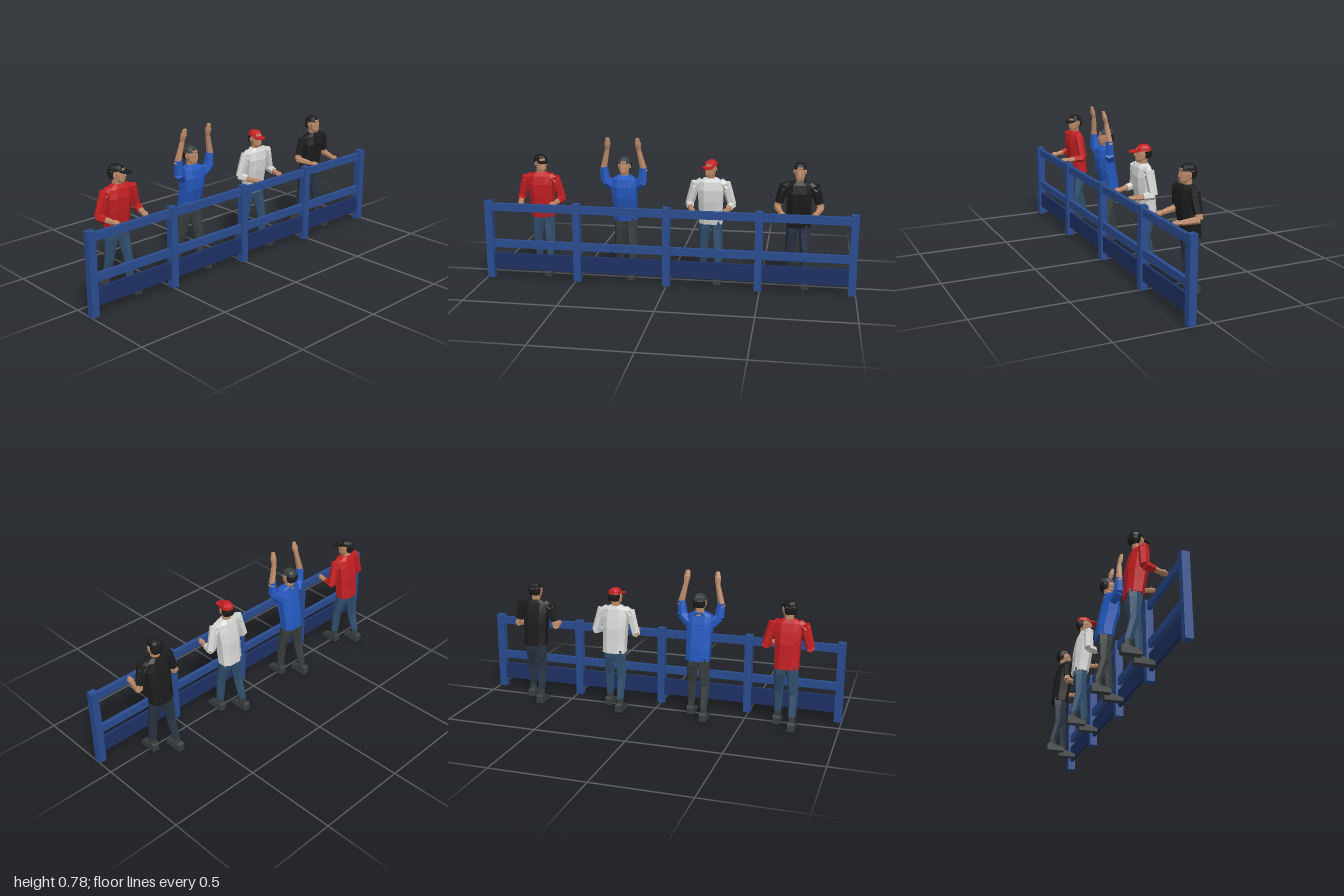
import * as THREE from 'three';

const mat = (name, color) => Object.assign(new THREE.MeshStandardMaterial({ color }), { name });

// Faceted normals baked into the geometry
function facet(geo) {
  const g = geo.index ? geo.toNonIndexed() : geo;
  g.computeVertexNormals();
  return g;
}

// Closed body lofted through horizontal rings [x, y, z, halfWidth, halfDepth], bottom to top
function loft(rings, sides = 8, power = 0.75) {
  const pos = [], idx = [];
  const bend = v => Math.sign(v) * Math.pow(Math.abs(v), power);
  for (const [x, y, z, rx, rz] of rings) {
    for (let i = 0; i < sides; i++) {
      const a = ((i + 0.5) / sides) * Math.PI * 2;
      pos.push(x + rx * bend(Math.sin(a)), y, z + rz * bend(Math.cos(a)));
    }
  }
  const last = (rings.length - 1) * sides;
  for (let r = 0; r < last; r += sides) {
    for (let i = 0; i < sides; i++) {
      const j = (i + 1) % sides;
      idx.push(r + i, r + j, r + sides + j, r + i, r + sides + j, r + sides + i);
    }
  }
  for (let i = 1; i < sides - 1; i++) {
    idx.push(0, i + 1, i, last, last + i, last + i + 1);
  }
  const g = new THREE.BufferGeometry();
  g.setAttribute('position', new THREE.Float32BufferAttribute(pos, 3));
  g.setIndex(idx);
  return facet(g);
}

// Tapered six-sided segment between two points
function segment(a, b, ra, rb) {
  const p = new THREE.Vector3(...a), q = new THREE.Vector3(...b);
  const d = q.clone().sub(p);
  const g = new THREE.CylinderGeometry(rb, ra, d.length(), 6);
  g.applyQuaternion(new THREE.Quaternion().setFromUnitVectors(new THREE.Vector3(0, 1, 0), d.normalize()));
  const c = p.add(q).multiplyScalar(0.5);
  g.translate(c.x, c.y, c.z);
  return facet(g);
}

const box = (w, h, d, x, y, z) => new THREE.BoxGeometry(w, h, d).translate(x, y, z);
const mix = (a, b, t) => a.map((v, i) => v + (b[i] - v) * t);

// Side profile of a shoe, extruded across its width
function shoeGeometry(x, heel) {
  const s = new THREE.Shape([[0, 0], [0.1, 0], [0.1, 0.019], [0.085, 0.024], [0.045, 0.036], [0.012, 0.046], [0, 0.036]]
    .map(p => new THREE.Vector2(...p)));
  const w = 0.037;
  return facet(new THREE.ExtrudeGeometry(s, { depth: w, bevelEnabled: false })
    .rotateY(-Math.PI / 2).translate(x + w / 2, 0, heel));
}

export function createModel() {
  const M = {
    fence: mat('fence blue', 0x2a4c90),
    board: mat('dark blue', 0x1d3164),
    red: mat('red', 0xc21f22),
    blue: mat('shirt blue', 0x2458bd),
    white: mat('off white', 0xd6d6d4),
    black: mat('black', 0x1c1c1d),
    skin: mat('skin', 0xbb8a68),
    jeans: mat('jeans blue', 0x31506f),
    navy: mat('dark navy', 0x2b3444),
    grey: mat('dark grey', 0x393e3e),
  };
  const model = new THREE.Group();
  model.name = 'fenceWithSpectators';

  const add = (parent, name, geo, material) => {
    const m = new THREE.Mesh(geo, material);
    m.name = name;
    parent.add(m);
    return m;
  };

  // Fence
  const fence = new THREE.Group();
  fence.name = 'fence';
  model.add(fence);
  for (let i = -2; i <= 2; i++) add(fence, 'post', box(0.04, 0.433, 0.04, i * 0.49, 0.2165, 0.108), M.fence);
  add(fence, 'topRail', box(1.96, 0.042, 0.022, 0, 0.4, 0.108), M.fence);
  add(fence, 'middleRail', box(1.96, 0.042, 0.022, 0, 0.194, 0.108), M.fence);
  add(fence, 'kickBoard', box(1.96, 0.09, 0.018, 0, 0.095, 0.108), M.board);

  function addLegs(p, trousers) {
    // Left leg steps forward, right leg trails
    const legs = [
      { s: 1, hip: -0.04, knee: -0.016, ankle: -0.01, heel: -0.036 },
      { s: -1, hip: -0.05, knee: -0.058, ankle: -0.09, heel: -0.127 },
    ];
    for (const { s, hip, knee, ankle, heel } of legs) {
      add(p, 'trouserLeg', loft([
        [s * 0.044, 0.07, ankle, 0.02, 0.02],
        [s * 0.042, 0.18, knee, 0.025, 0.025],
        [s * 0.033, 0.29, hip, 0.031, 0.037],
        [s * 0.029, 0.335, hip, 0.03, 0.038],
      ], 6, 0.85), trousers);
      add(p, 'ankle', loft([
        [s * 0.045, 0.025, ankle - 0.003, 0.018, 0.019],
        [s * 0.044, 0.076, ankle, 0.019, 0.019],
      ], 6, 0.85), M.grey);
      add(p, 'shoe', shoeGeometry(s * 0.046, heel), M.grey);
    }
  }

  function addArms(p, shirt, raised, sleeve) {
    for (const s of [-1, 1]) {
      const shoulder = [s * 0.073, 0.545, -0.018];
      const elbow = raised ? [s * 0.112, 0.6, 0.002] : [s * 0.115, 0.428, -0.028];
      const wrist = raised ? [s * 0.086, 0.715, 0.012] : [s * 0.095, 0.418, 0.055];
      const tip = raised ? [s * 0.08, 0.782, 0.028] : [s * 0.08, 0.418, 0.095];
      if (raised) {
        // Upper arm swings out before rising to the elbow
        const bend = [s * 0.1, 0.545, 0.0];
        add(p, 'shoulder', segment([s * 0.058, 0.51, -0.02], bend, 0.03, 0.027), shirt);
        add(p, 'upperSleeve', segment(bend, mix(elbow, wrist, 0.18), 0.028, 0.021), shirt);
      } else {
        add(p, 'shoulder', segment([s * 0.05, 0.558, -0.02], [s * 0.088, 0.522, -0.019], 0.02, 0.029), shirt);
        const cuff = mix(shoulder, elbow, sleeve > 0 ? 1 : 0.78);
        add(p, 'upperSleeve', segment([s * 0.079, 0.55, -0.018], cuff, 0.027, 0.023), shirt);
        if (sleeve > 0) add(p, 'lowerSleeve', segment(elbow, mix(elbow, wrist, sleeve), 0.023, 0.019), shirt);
        else add(p, 'elbow', segment(mix(shoulder, elbow, 0.7), elbow, 0.018, 0.019), M.skin);
      }
      add(p, 'forearm', segment(elbow, wrist, 0.019, 0.013), M.skin);
      add(p, 'hand', loft2(wrist, tip), M.skin);
    }
  }

  // Hand widens at the knuckles and narrows at the fingertips
  function loft2(wrist, tip) {
    const d = new THREE.Vector3(...tip).sub(new THREE.Vector3(...wrist));
    const len = d.length();
    const g = new THREE.LatheGeometry([[0, 0], [0.013, 0], [0.018, len * 0.5], [0.011, len], [0, len]]
      .map(v => new THREE.Vector2(...v)), 6);
    g.scale(1, 1, 0.8);
    g.applyQuaternion(new THREE.Quaternion().setFromUnitVectors(new THREE.Vector3(0, 1, 0), d.normalize()));
    return facet(g.translate(...wrist));
  }

  function addHead(p, hat, brim, yaw) {
    const head = new THREE.Group();
    head.name = 'head';
    head.position.z = -0.025;
    head.rotation.y = yaw;
    p.add(head);
    add(head, 'face', loft([
      [0, 0.58, 0.022, 0.015, 0.016], [0, 0.595, 0.012, 0.025, 0.031],
      [0, 0.625, 0.003, 0.031, 0.039], [0, 0.65, 0, 0.03, 0.038], [0, 0.662, -0.002, 0.022, 0.028],
    ]), M.skin);
    add(head, 'nose', loft([[0, 0.613, 0.042, 0.006, 0.009], [0, 0.635, 0.039, 0.004, 0.005]], 4), M.skin);
    for (const s of [-1, 1]) add(head, 'ear', box(0.006, 0.018, 0.012, s * 0.032, 0.622, 0.002), M.skin);
    add(head, 'backHair', loft([
      [0, 0.602, -0.018, 0.028, 0.019], [0, 0.62, -0.018, 0.033, 0.025], [0, 0.637, -0.017, 0.034, 0.026],
    ]), M.black);
    add(head, brim ? 'cap' : 'topHair', loft([
      [0, 0.64, -0.001, 0.034, 0.041], [0, 0.655, -0.002, 0.031, 0.037],
      [0, 0.666, -0.003, 0.021, 0.027], [0, 0.672, -0.003, 0.009, 0.012],
    ]), hat);
    if (brim) {
      const g = loft([[0, 0, 0.045, 0.03, 0.032], [0, 0.006, 0.045, 0.03, 0.032]]);
      add(head, 'capBrim', g.rotateX(0.1).translate(0, 0.638, 0), hat);
    }
  }

  // Spectators, from the model's right to its left
  const people = [
    { name: 'redSpectator', x: -0.72, shirt: M.red, legs: M.jeans, hat: M.black, brim: true, yaw: 0.55, sleeve: 0.6 },
    { name: 'cheeringSpectator', x: -0.25, shirt: M.blue, legs: M.grey, hat: M.grey, yaw: 0, raised: true, lean: 0.01 },
    { name: 'whiteSpectator', x: 0.22, shirt: M.white, legs: M.jeans, hat: M.red, brim: true, yaw: -0.25, sleeve: 0.6 },
    { name: 'blackSpectator', x: 0.69, shirt: M.black, legs: M.navy, hat: M.black, yaw: 0, sleeve: 0 },
  ];
  for (const o of people) {
    const p = new THREE.Group();
    p.name = o.name;
    p.position.x = o.x;
    model.add(p);
    const f = o.lean || 0;
    addLegs(p, o.legs);
    add(p, 'shirt', loft([
      [0, 0.318, -0.047, 0.066, 0.045], [0, 0.38, -0.038, 0.066, 0.048],
      [0, 0.45, -0.03 + f, 0.069, 0.052], [0, 0.51, -0.022 + f, 0.073, 0.048],
      [0, 0.555, -0.02 + f, 0.067, 0.037], [0, 0.574, -0.022, 0.035, 0.025],
    ]), o.shirt);
    add(p, 'neck', loft([[0, 0.555, -0.025, 0.023, 0.022], [0, 0.61, -0.022, 0.022, 0.021]]), M.skin);
    addArms(p, o.shirt, o.raised, o.sleeve);
    addHead(p, o.hat, o.brim, o.yaw);
  }
  return model;
}
